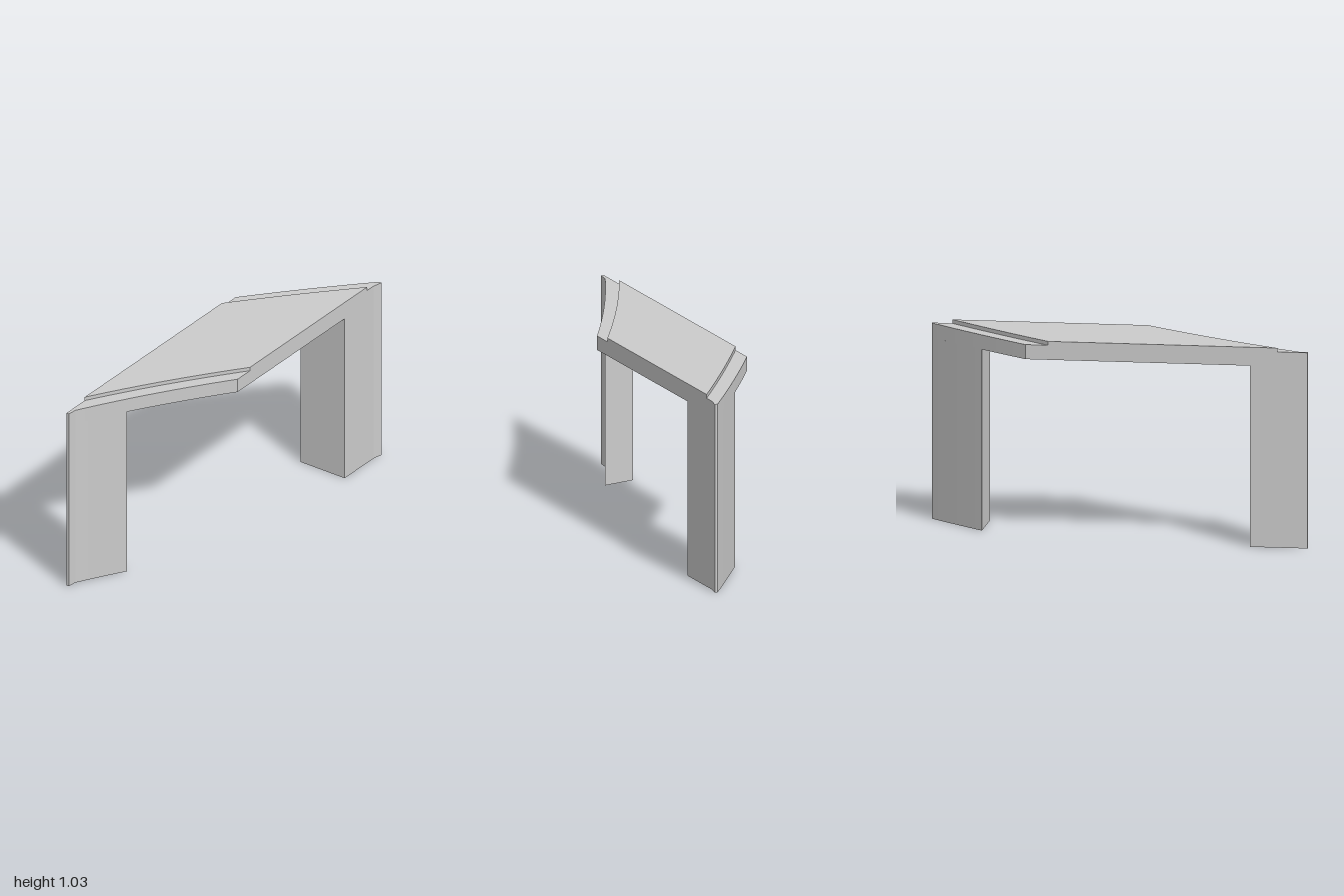
import * as THREE from 'three';

const BACK = -0.255, FRONT = 0.242, SEGMENTS = 16;
const DECK_TOP = 1.01, DECK_BOTTOM = 0.935, COVER_TOP = 1.03;

// Bowed plan edge: z as a function of x, between two end points
const bowed = (x0, z0, x1, z1, bow) => (x) => {
  const u = (x - x0) / (x1 - x0);
  return z0 + (z1 - z0) * u - 4 * bow * u * (1 - u);
};

// Sample a plan edge from one x to another
function along(edge, from, to) {
  const points = [];
  for (let i = 0; i <= SEGMENTS; i++) {
    const x = from + ((to - from) * i) / SEGMENTS;
    points.push([x, edge(x)]);
  }
  return points;
}

// Upright prism from a plan outline of [x, z] points
function prism(name, outline, bottom, top) {
  const shape = new THREE.Shape(outline.map(([x, z]) => new THREE.Vector2(x, z)));
  const geometry = new THREE.ExtrudeGeometry(shape, { depth: top - bottom, bevelEnabled: false });
  geometry.rotateX(Math.PI / 2).translate(0, top, 0);
  const mesh = new THREE.Mesh(geometry, new THREE.MeshStandardMaterial({ color: 0xcccccc }));
  mesh.name = name;
  return mesh;
}

export function createModel() {
  const group = new THREE.Group();
  group.name = 'portal';

  const rightEdge = bowed(-0.952, -0.235, -0.212, FRONT, 0.018);
  const leftEdge = bowed(0.446, BACK, 1, 0.238, 0.009);
  const leftTip = [[1, 0.255], [0.95, FRONT]];
  const rightTip = [[-1, -0.24], [-1, BACK]];

  // Deck: skewed slab with pointed ends
  group.add(prism('deck', [
    ...along(leftEdge, 0.446, 1), ...leftTip,
    ...along(rightEdge, -0.212, -0.952), ...rightTip,
  ], DECK_BOTTOM, DECK_TOP));

  // Legs: the two ends of the deck outline carried down to the ground
  group.add(prism('leftLeg', [
    ...along(leftEdge, 0.702, 1), ...leftTip, [0.702, FRONT],
  ], 0, DECK_BOTTOM));
  group.add(prism('rightLeg', [
    ...along(rightEdge, -0.705, -0.952), ...rightTip, [-0.705, BACK],
  ], 0, DECK_BOTTOM));

  // Thin raised cover, set in from both bowed edges
  const coverRight = bowed(-0.845, BACK, -0.107, FRONT, 0.018);
  const coverLeft = bowed(0.33, BACK, 0.895, FRONT, 0.009);
  group.add(prism('deckCover', [
    ...along(coverLeft, 0.33, 0.895), ...along(coverRight, -0.107, -0.845),
  ], DECK_TOP, COVER_TOP));

  return group;
}
